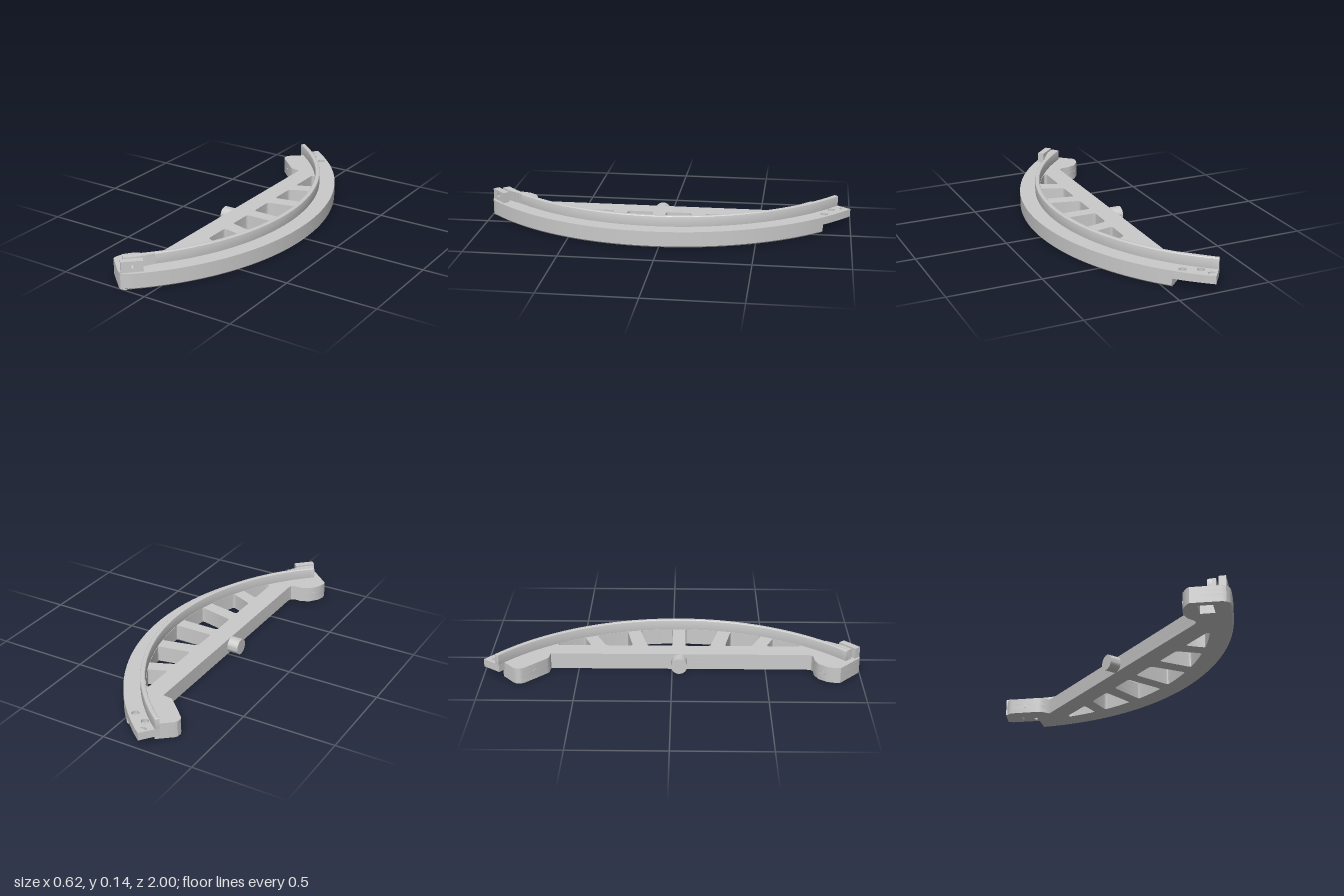
import * as THREE from 'three';
import { toCreasedNormals } from 'three/addons/utils/BufferGeometryUtils.js';

const CX = -0.99, CZ = 0.035, R = 1.3; // arc centre and outer radius
const T = 0.087, TOP = 0.145; // plate thickness and wall height
const rad = THREE.MathUtils.degToRad;

// Plan point [x, z] on the arc family
const polar = (r, deg) => [CX + r * Math.cos(rad(deg)), CZ + r * Math.sin(rad(deg))];
const arc = (r, a, b, n = 64) =>
  Array.from({ length: n + 1 }, (_, i) => polar(r, a + (b - a) * i / n));
const sector = (r0, r1, a, b) => [polar(r0, a), polar(r1, a), polar(r1, b), polar(r0, b)];
const circle = (x, z, r) => Array.from({ length: 24 }, (_, i) =>
  [x + r * Math.cos(i * Math.PI / 12), z + r * Math.sin(i * Math.PI / 12)]);
const vecs = (pts) => pts.map(([x, z]) => new THREE.Vector2(x, -z));

// Round the sharp corners of a plan polygon
function rounded(pts, r) {
  const p = vecs(pts), out = [];
  p.forEach((c, i) => {
    const a = p[(i + p.length - 1) % p.length], b = p[(i + 1) % p.length];
    const u = a.clone().sub(c), v = b.clone().sub(c);
    if (Math.abs(Math.PI - Math.acos(u.dot(v) / u.length() / v.length())) < 0.3) { out.push(c); return; }
    const s = c.clone().add(u.clone().setLength(Math.min(r, u.length() * 0.45)));
    const e = c.clone().add(v.clone().setLength(Math.min(r, v.length() * 0.45)));
    out.push(...new THREE.QuadraticBezierCurve(s, c, e).getPoints(4));
  });
  return out;
}

// Shape wound clockwise with its holes counter-clockwise
function makeShape(outline, holes) {
  const wind = (pts, clockwise) =>
    THREE.ShapeUtils.isClockWise(pts) === clockwise ? pts : pts.slice().reverse();
  const shape = new THREE.Shape(wind(outline, true));
  holes.forEach((h) => shape.holes.push(new THREE.Path(wind(h, false))));
  return shape;
}

// Extrude a plan polygon upward from y0 to y1
function slab(outline, holes, y0, y1, bevel = 0) {
  const geo = new THREE.ExtrudeGeometry(makeShape(vecs(outline), holes), {
    depth: y1 - y0 - 2 * bevel, bevelEnabled: bevel > 0,
    bevelSize: bevel, bevelThickness: bevel, bevelOffset: -bevel, bevelSegments: 3,
  });
  geo.rotateX(-Math.PI / 2);
  geo.translate(0, y0 + bevel, 0);
  return geo;
}

export function createModel() {
  const grey = new THREE.MeshStandardMaterial({ color: 0xcacaca });
  grey.name = 'grey';
  const model = new THREE.Group();
  const add = (name, geo) => {
    const mesh = new THREE.Mesh(toCreasedNormals(geo, 0.5), grey);
    mesh.name = name;
    model.add(mesh);
    return mesh;
  };

  // Inner side of the plan: front lug, straight beam, back lug
  const innerSide = [
    [-0.105, 0.987], [-0.125, 0.997], [-0.145, 1.0], [-0.165, 0.99],
    [-0.28, 0.885], [-0.282, 0.865], [-0.27, 0.82], [-0.235, 0.775], [-0.19, 0.755],
    [-0.15, 0.755], [-0.13, 0.745], [-0.125, 0.72],
    [-0.125, -0.65], [-0.175, -0.655], [-0.19, -0.665],
    [-0.305, -0.775], [-0.312, -0.79], [-0.31, -0.815], [-0.3, -0.83], [-0.225, -0.893],
  ];
  const cut = -42.9, tip = -52.6;
  // The lower part stops short of the tab and is notched into the back lug
  const lower = [...arc(R, cut, 46), ...innerSide,
    polar(1.19, -50), polar(1.19, -47.3), polar(1.12, -47.3), polar(1.12, cut)];
  const upper = [...arc(R, tip, 46), ...innerSide, polar(1.188, -50), polar(1.188, tip)];

  // Truss windows, mirrored about the middle strut
  const angleAt = (z) => Math.asin((z - CZ) / 1.186) * 180 / Math.PI;
  const half = [
    // [left edge z from, to, arc edge z from, to]
    [0.07, 0.205, 0.07, 0.25],
    [0.285, 0.43, 0.32, 0.485],
    [0.51, 0.69, 0.55, 0.69],
  ];
  const windows = [];
  for (const [a, b, c, d] of half) {
    const pts = [[-0.018, b], [-0.018, a], ...arc(1.186, angleAt(c), angleAt(d), 10)];
    windows.push(rounded(pts, 0.016));
    windows.push(rounded(pts.map(([x, z]) => [x, 2 * CZ - z]), 0.016));
  }

  // Underside pocket in the front end
  const pocket = vecs(sector(1.14, 1.215, 44, 48.2));

  // Plate in layers; the lowest carries the outer chamfer
  const foot = slab(lower, [...windows, pocket], 0, 0.008);
  const pos = foot.attributes.position;
  for (let i = 0; i < pos.count; i++) {
    const dx = pos.getX(i) - CX, dz = pos.getZ(i) - CZ, r = Math.hypot(dx, dz);
    if (pos.getY(i) < 0.001 && r > R - 0.003) {
      pos.setX(i, CX + dx * (1 - 0.008 / r));
      pos.setZ(i, CZ + dz * (1 - 0.008 / r));
    }
  }
  foot.computeVertexNormals();
  add('chamferedFoot', foot);
  add('lowerPlate', slab(lower, [...windows, pocket], 0.008, 0.045));

  // Upper plate with counterbored bolt holes in the back tab
  const bolts = (r) => [[-0.2, -0.957], [-0.173, -0.893], [-0.093, -0.855]]
    .map(([x, z]) => vecs(circle(x, z, r)));
  add('upperPlate', slab(upper, [...windows, ...bolts(0.012)], 0.045, 0.07));
  add('counterboredPlate', slab(upper, [...windows, ...bolts(0.02)], 0.07, T));

  // Raised curved wall with softened top edges
  add('curvedWall', slab([...arc(1.213, tip, 48), ...arc(1.188, 48, tip)], [], 0.075, TOP, 0.007));

  // Steps thickening the wall at the front end
  for (let i = 0; i < 5; i++) {
    const a = 40.4 + i * 1.1, end = i < 4 ? a + 1.1 : 48;
    add('wallStep', slab(sector(1.2, 1.217 + i * 0.004, a, end), [], 0.08, TOP - 0.001));
  }

  // Upright stop block with a bore, facing outward on the front end
  const w = 0.056;
  const face = [[-w, 0.08], [w, 0.08], [w, TOP], [-w, TOP]].map(([x, y]) => new THREE.Vector2(x, y));
  const hole = circle(0, 0.118, 0.011).map(([x, y]) => new THREE.Vector2(x, y));
  const block = add('stopBlock', new THREE.ExtrudeGeometry(makeShape(face, [hole]),
    { depth: 0.037, bevelEnabled: false }));
  const [blockX, blockZ] = polar(1.246, 46.1);
  block.position.set(blockX, 0, blockZ);
  block.rotation.y = rad(90 - 46.1);

  // Pivot peg on the straight beam
  const peg = new THREE.CylinderGeometry(0.043, 0.043, 0.07, 40);
  peg.rotateZ(Math.PI / 2);
  add('pivotPeg', peg).position.set(-0.152, 0.0435, CZ + 0.003);

  // Bore mouths on the notch wall and the two lugs
  const [notchX, notchZ] = polar(1.119, -45.1);
  const bores = [
    // [x, y, z, outward normal x, z]
    [notchX, 0.025, notchZ, 0.71, -0.71],
    [-0.2525, 0.044, 0.7975, -0.79, -0.61],
    [-0.2475, 0.044, -0.72, -0.69, 0.72],
  ];
  for (const [x, y, z, nx, nz] of bores) {
    const geo = new THREE.CylinderGeometry(0.012, 0.012, 0.004, 24);
    geo.rotateX(Math.PI / 2);
    const mesh = add('boreMouth', geo);
    mesh.position.set(x, y, z);
    mesh.rotation.y = Math.atan2(nx, nz);
  }

  return model;
}
